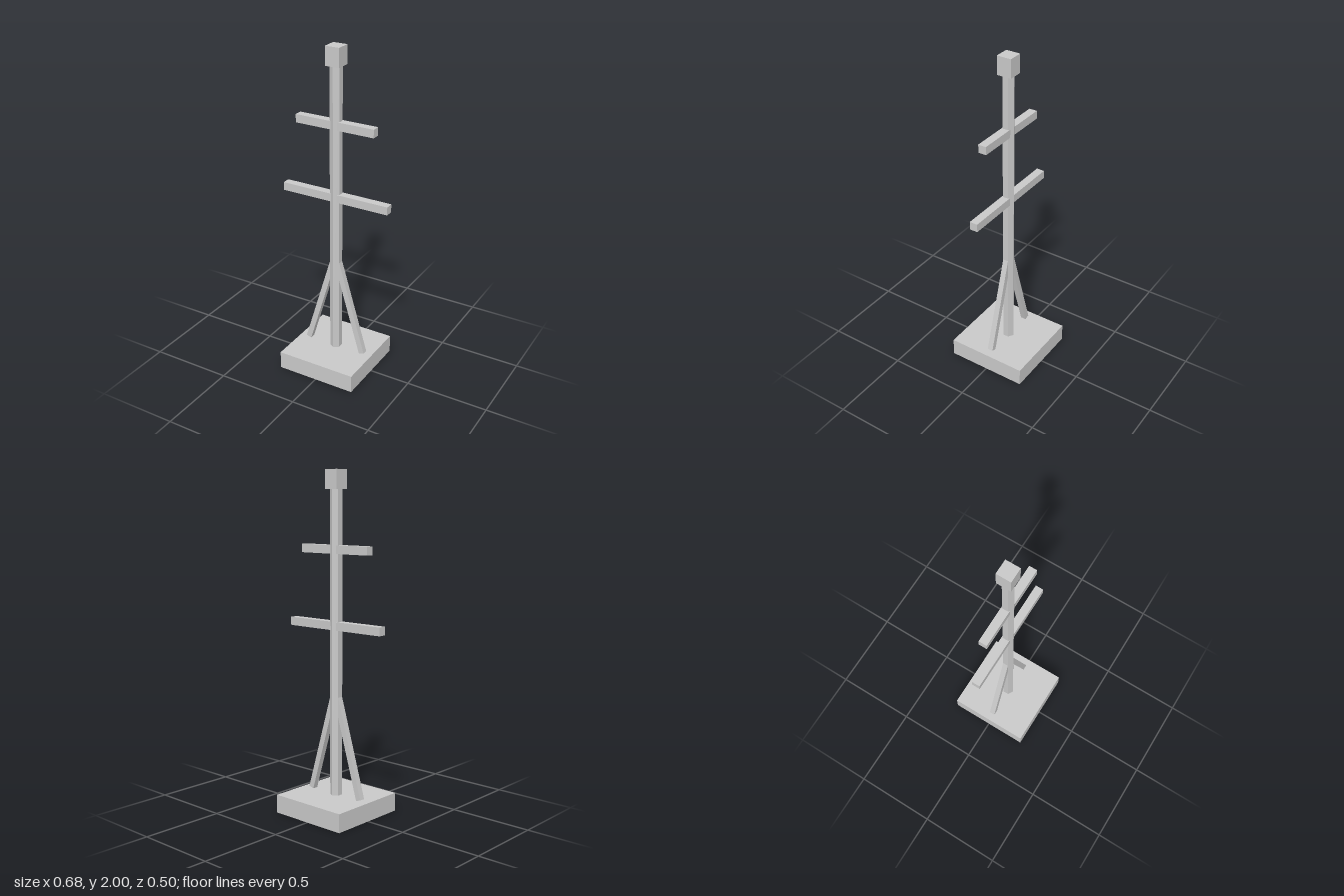
import * as THREE from 'three';

export function createModel() {
  const model = new THREE.Group();
  model.name = 'signalMast';
  const grey = new THREE.MeshStandardMaterial({ color: 0xc8c8c8 });
  grey.name = 'lightGrey';

  const add = (name, geometry, x, y) => {
    const mesh = new THREE.Mesh(geometry, grey);
    mesh.name = name;
    mesh.position.set(x, y, 0);
    model.add(mesh);
    return mesh;
  };
  const block = (name, width, bottom, top, depth) =>
    add(name, new THREE.BoxGeometry(width, top - bottom, depth), 0, (bottom + top) / 2);

  // Square foot and cap block
  block('base', 0.496, 0, 0.11, 0.496);
  block('cap', 0.087, 1.891, 2, 0.087);

  // Hexagonal pole with corners facing front and back
  const pole = new THREE.CylinderGeometry(0.036, 0.036, 1.783, 6).toNonIndexed();
  pole.computeVertexNormals();
  add('pole', pole, 0, 0.109 + 1.783 / 2);

  // Two crossarms
  block('lowerCrossarm', 0.682, 1.092, 1.141, 0.049);
  block('upperCrossarm', 0.496, 1.529, 1.578, 0.049);

  // Sloping braces, mirrored left and right
  const foot = new THREE.Vector2(0.187, 0.115);
  const head = new THREE.Vector2(0.006, 0.725);
  const length = foot.distanceTo(head);
  const tilt = Math.atan2(foot.x - head.x, head.y - foot.y);
  for (const side of [1, -1]) {
    const brace = add(side > 0 ? 'leftBrace' : 'rightBrace',
      new THREE.BoxGeometry(0.034, length, 0.034),
      side * (foot.x + head.x) / 2, (foot.y + head.y) / 2);
    brace.rotation.z = side * tilt;
  }

  return model;
}
